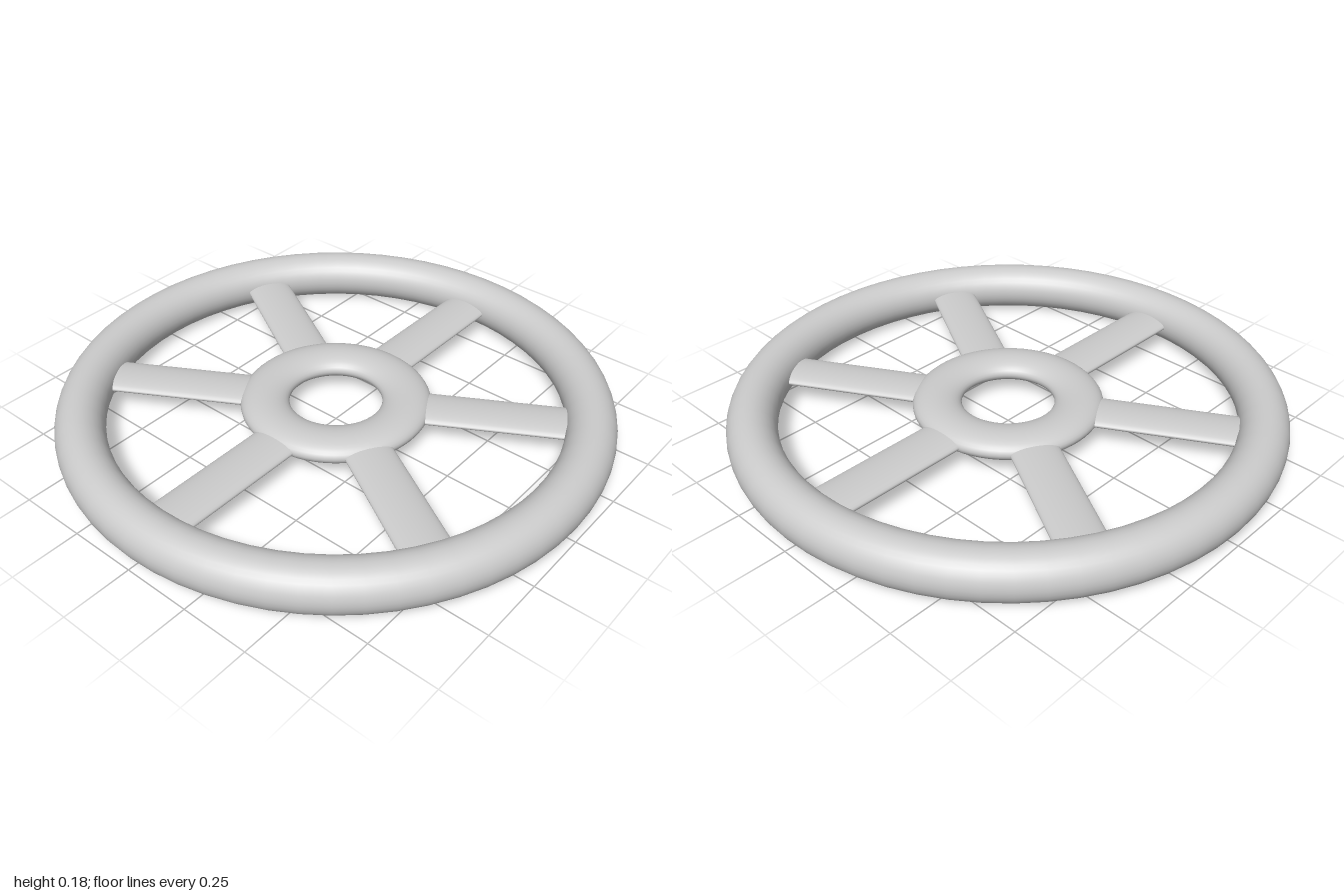
import * as THREE from 'three';

const RIM_RADIUS = 0.9115;
const TUBE = 0.0885;
const HUB_RADIUS = 0.257;
const SPOKES = 6;

export function createModel() {
  const wheel = new THREE.Group();
  wheel.name = 'wheel';
  const material = new THREE.MeshStandardMaterial({ color: 0xcccccc });

  const add = (name, geometry) => {
    const mesh = new THREE.Mesh(geometry, material);
    mesh.name = name;
    mesh.position.y = TUBE;
    wheel.add(mesh);
    return mesh;
  };

  // Round outer rim lying flat
  add('rim', new THREE.TorusGeometry(RIM_RADIUS, TUBE, 32, 64).rotateX(-Math.PI / 2));

  // Hub ring, flattened in height
  add('hub', new THREE.TorusGeometry(HUB_RADIUS, TUBE, 32, 64)
    .rotateX(-Math.PI / 2).scale(1, 0.5, 1));

  // Flattened oval spokes, buried in the hub and the rim
  const length = RIM_RADIUS - HUB_RADIUS;
  const spokeGeometry = new THREE.CylinderGeometry(TUBE, TUBE, length, 32, 1)
    .rotateX(Math.PI / 2)
    .scale(1, 0.27, 1)
    .translate(0, 0, HUB_RADIUS + length / 2);
  for (let i = 0; i < SPOKES; i++) {
    add(`spoke${i + 1}`, spokeGeometry).rotation.y = (i / SPOKES) * Math.PI * 2;
  }

  return wheel;
}
